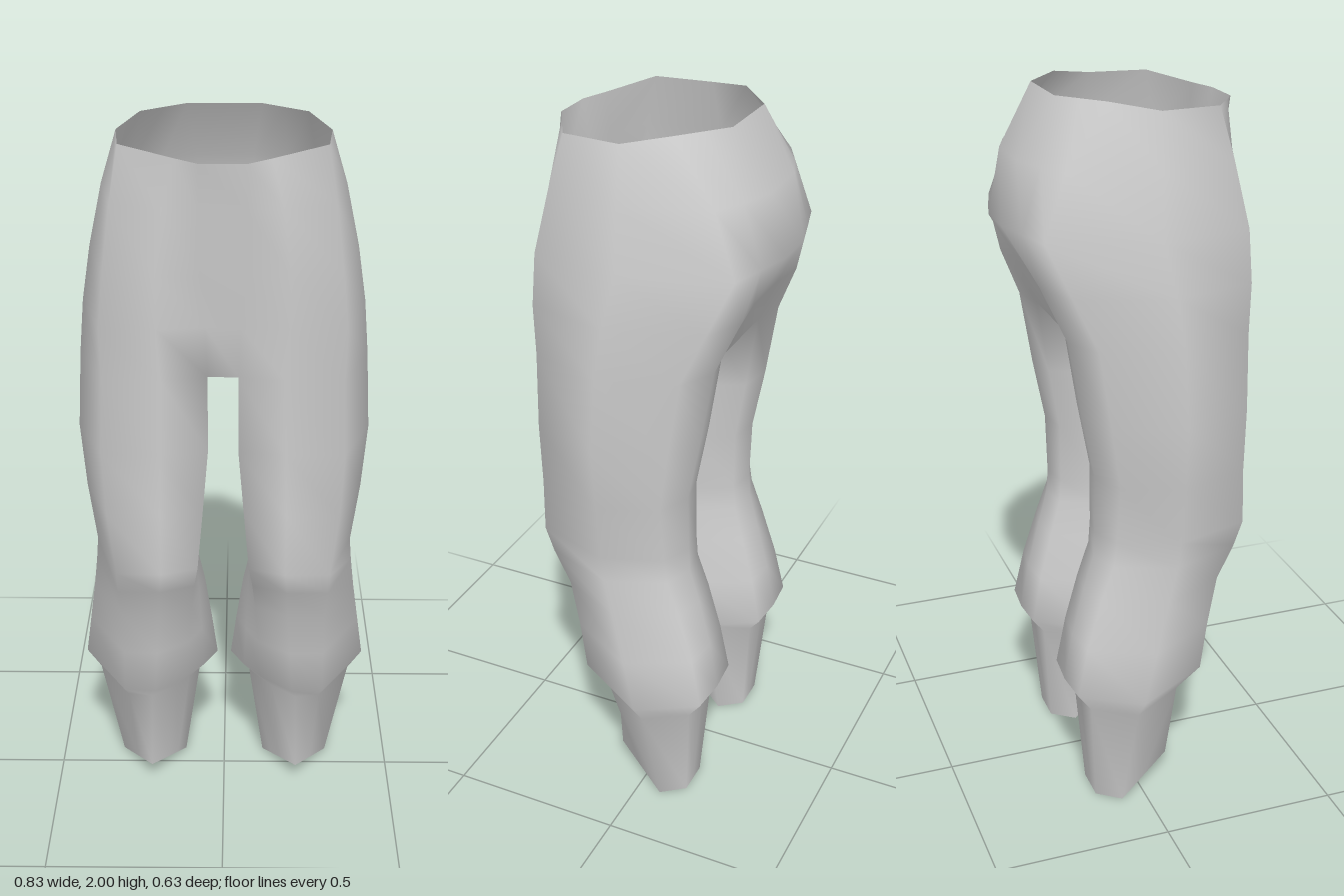
import * as THREE from 'three';

// Hip half outlines (x, z) from front centre round the side to back centre
const HIP_ROWS = [
  { y: 1.98, points: [[.06, .315], [.12, .28], [.26, .2], [.275, .04], [.22, -.08], [.16, -.13], [.1, -.18]] },
  { y: 1.84, points: [[.06, .3], [.15, .285], [.282, .235], [.318, .03], [.25, -.2], [.17, -.24], [.08, -.275]] },
  { y: 1.67, points: [[.06, .285], [.17, .283], [.302, .272], [.355, .02], [.26, -.26], [.16, -.288], [.06, -.315]] },
  { y: 1.53, points: [[.045, .267], [.17, .282], [.315, .278], [.375, .05], [.3, -.2], [.19, -.25], [.075, -.235]] },
];
// The waist edge is higher at the back
const WAIST_LIFT = [-.02, -.015, 0, 0, .02, .02, .02];

// Unit leg outlines: the first seven points continue the hip, the last two are the inner side
const THIGH = [[-1, .87], [-.3, 1], [.58, .98], [1, 0], [.62, -.8], [.05, -1], [-.52, -.92], [-.83, -.45], [-.92, .1]];
const CALF = [[-.55, .65], [-.1, 1], [.35, .98], [1, 0], [.52, -.95], [0, -1], [-.52, -.95], [-1, 0], [-.8, .35]];
const HEM = [[-.5, .5], [0, 1], [.5, .5], [1, 0], [.5, -1], [0, -1], [-.5, -1], [-1, 0], [-.75, .25]];

// y, inner x, outer x, front z, back z, middle z, blend (0 thigh, 1 calf, 2 hem)
const LEG_ROWS = [
  [1.39, .04, .385, .28, -.19, .07, 0],
  [1.18, .04, .395, .28, -.155, .08, 0],
  [1.0, .055, .38, .28, -.12, .08, 0],
  [.83, .06, .357, .295, -.118, .08, .15],
  [.76, .06, .363, .27, -.122, .07, .3],
  [.66, .045, .375, .225, -.15, .04, .6],
  [.52, .032, .395, .2, -.185, 0, .85],
  [.38, .02, .415, .18, -.21, -.04, 1],
  [.32, .075, .375, .118, -.165, -.045, 1.1],
  [0, .12, .315, .10, -.135, -.07, 2],
];

const { lerp } = THREE.MathUtils;

function hipRing({ y, points }, row) {
  return points.map(([x, z], i) => [x, y + (row === 0 ? WAIST_LIFT[i] : 0), z]);
}

function legRing([y, xIn, xOut, front, back, mid, blend]) {
  const cx = (xIn + xOut) / 2, rx = (xOut - xIn) / 2;
  const [from, to, t] = blend <= 1 ? [THIGH, CALF, blend] : [CALF, HEM, blend - 1];
  return from.map(([u0, v0], i) => {
    const u = lerp(u0, to[i][0], t), v = lerp(v0, to[i][1], t);
    // The hem arches up at the front
    const lift = y === 0 ? .06 * Math.max(0, v) : 0;
    return [cx + u * rx, y + lift, mid + v * (v > 0 ? front - mid : mid - back)];
  });
}

function trousersGeometry() {
  const positions = [], index = [];
  const rings = [...HIP_ROWS.map(hipRing), ...LEG_ROWS.map(legRing)];
  const crotch = HIP_ROWS.length, last = WAIST_LIFT.length - 1;
  const quad = (a, b, c, d) => index.push(a, d, c, a, c, b);

  // Left half and mirrored right half
  const [L, R] = [1, -1].map(side => rings.map(ring => ring.map(([x, y, z]) => {
    positions.push(side * x, y, z);
    return positions.length / 3 - 1;
  })));

  for (let r = 0; r < rings.length - 1; r++) {
    const isLeg = r >= crotch;
    const count = isLeg ? THIGH.length : last;
    for (let i = 0; i < count; i++) {
      const j = (i + 1) % THIGH.length;
      quad(L[r][i], L[r][j], L[r + 1][j], L[r + 1][i]);
      quad(R[r][j], R[r][i], R[r + 1][i], R[r + 1][j]);
    }
    // Front and back centre panels
    if (!isLeg) {
      quad(R[r][0], L[r][0], L[r + 1][0], R[r + 1][0]);
      quad(L[r][last], R[r][last], R[r + 1][last], L[r + 1][last]);
    }
  }

  // Gusset between the legs
  for (const [i, j] of [[0, 8], [8, 7], [7, 6]]) {
    quad(R[crotch][i], L[crotch][i], L[crotch][j], R[crotch][j]);
  }

  const geometry = new THREE.BufferGeometry();
  geometry.setAttribute('position', new THREE.Float32BufferAttribute(positions, 3));
  geometry.setIndex(index);
  geometry.computeVertexNormals();
  return geometry;
}

export function createModel() {
  const cloth = new THREE.MeshStandardMaterial({ color: 0xcccccc, side: THREE.DoubleSide });
  cloth.name = 'light grey cloth';

  const trousers = new THREE.Mesh(trousersGeometry(), cloth);
  trousers.name = 'trousers';

  const group = new THREE.Group();
  group.name = 'trousersModel';
  group.add(trousers);
  return group;
}
